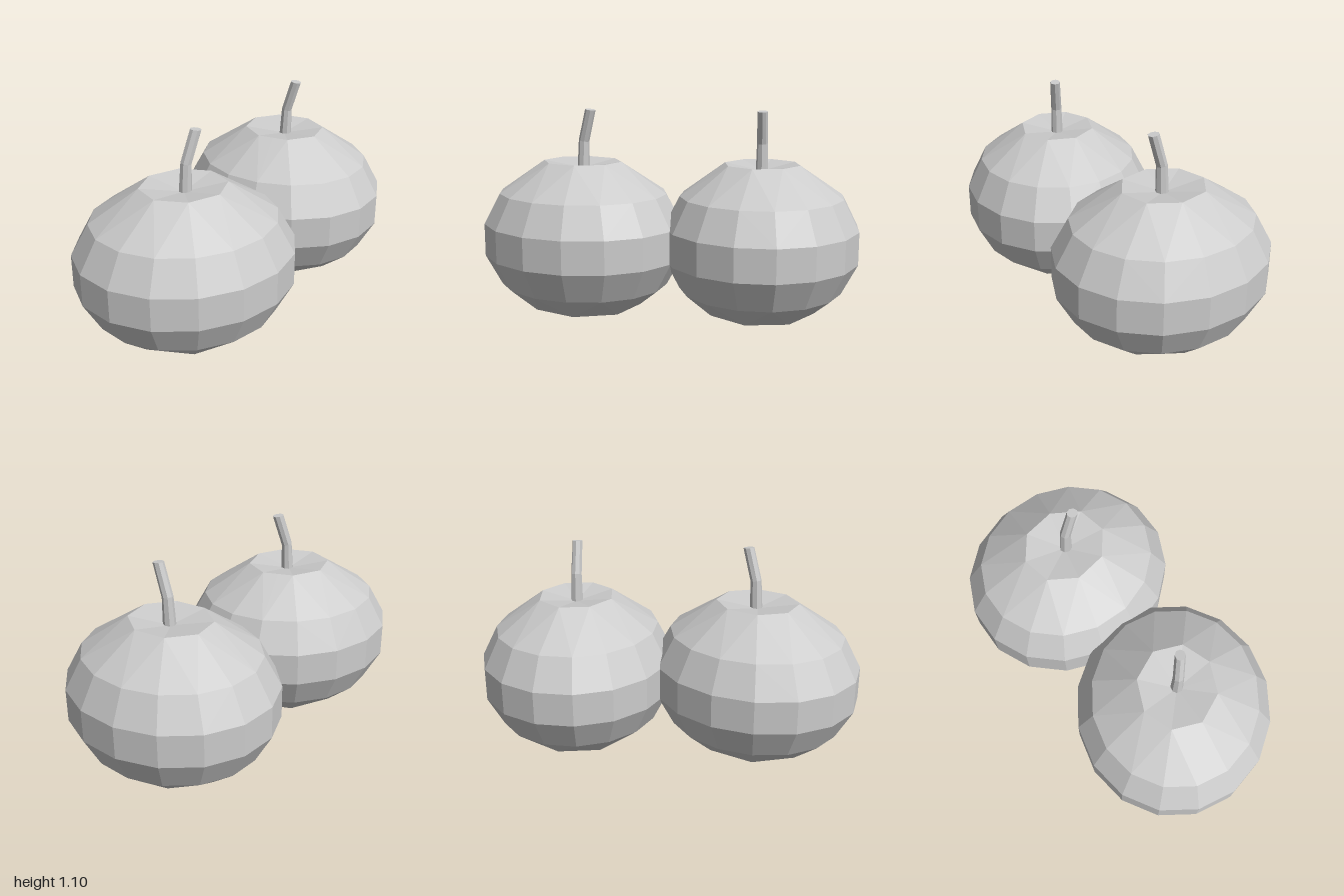
import * as THREE from 'three';

const material = new THREE.MeshStandardMaterial({ color: 0xcccccc, flatShading: true });

// Elliptical ring of points; tilt lowers the +x side
function ring(sides, cx, y, rx, rz, offset = 0, tilt = 0) {
  return Array.from({ length: sides }, (_, i) => {
    const a = ((i + offset) / sides) * Math.PI * 2;
    return new THREE.Vector3(cx + rx * Math.cos(a), y - tilt * Math.cos(a), rz * Math.sin(a));
  });
}

// Straighten every second point, turning 16 sides into 8
function halve(points) {
  return points.map((p, i) => i % 2 === 0 ? p
    : p.clone().add(points[i - 1]).add(points[(i + 1) % points.length]).sub(p)
      .multiplyScalar(0.5));
}

// Faceted skin over rings listed from bottom to top, closed by a fan at each end
function loft(name, rings, bottom, top) {
  const pos = [];
  const tri = (...pts) => pts.forEach((p) => pos.push(p.x, p.y, p.z));
  const n = rings[0].length;
  const first = rings[0], last = rings[rings.length - 1];
  for (let i = 0; i < n; i++) {
    const j = (i + 1) % n;
    for (let k = 0; k < rings.length - 1; k++) {
      const lo = rings[k], up = rings[k + 1];
      // diagonals alternate so the 8-sided end rings meet the 16-sided ones cleanly
      if ((i % 2 === 0) === (k > 0)) {
        tri(lo[i], up[i], lo[j]);
        tri(up[i], up[j], lo[j]);
      } else {
        tri(lo[i], up[i], up[j]);
        tri(lo[i], up[j], lo[j]);
      }
    }
    tri(bottom, first[i], first[j]);
    tri(top, last[j], last[i]);
  }
  const geometry = new THREE.BufferGeometry();
  geometry.setAttribute('position', new THREE.Float32BufferAttribute(pos, 3));
  geometry.computeVertexNormals();
  const mesh = new THREE.Mesh(geometry, material);
  mesh.name = name;
  return mesh;
}

function createPumpkin(name) {
  const pumpkin = new THREE.Group();
  pumpkin.name = name;

  // Body: [height, radius] from base to crown
  const profile = [[0.05, 0.32], [0.17, 0.47], [0.33, 0.56], [0.5, 0.56], [0.66, 0.47], [0.825, 0.22]];
  const rings = profile.map(([y, r]) => ring(16, 0, y, r, r * 0.91, 0.5));
  rings[0] = halve(rings[0]);
  rings[5] = halve(rings[5]);
  // off-centre base point, dimpled crown
  pumpkin.add(loft('body', rings, new THREE.Vector3(-0.1, 0, -0.1), new THREE.Vector3(0, 0.79, 0)));

  // Bent stem
  pumpkin.add(loft('stem', [
    ring(8, 0.008, 0.78, 0.034, 0.032),
    ring(8, 0.015, 0.935, 0.028, 0.028, 0, 0.006),
    ring(8, 0.068, 1.1, 0.029, 0.026, 0, 0.004),
  ], new THREE.Vector3(0.008, 0.78, 0), new THREE.Vector3(0.068, 1.1, 0)));
  return pumpkin;
}

export function createModel() {
  const model = new THREE.Group();
  model.name = 'pumpkins';

  const back = createPumpkin('backPumpkin');
  back.position.set(0, 0, -0.5);

  const front = createPumpkin('frontPumpkin');
  front.position.set(0.015, 0, 0.453);
  front.rotation.y = THREE.MathUtils.degToRad(56);

  model.add(back, front);
  return model;
}
